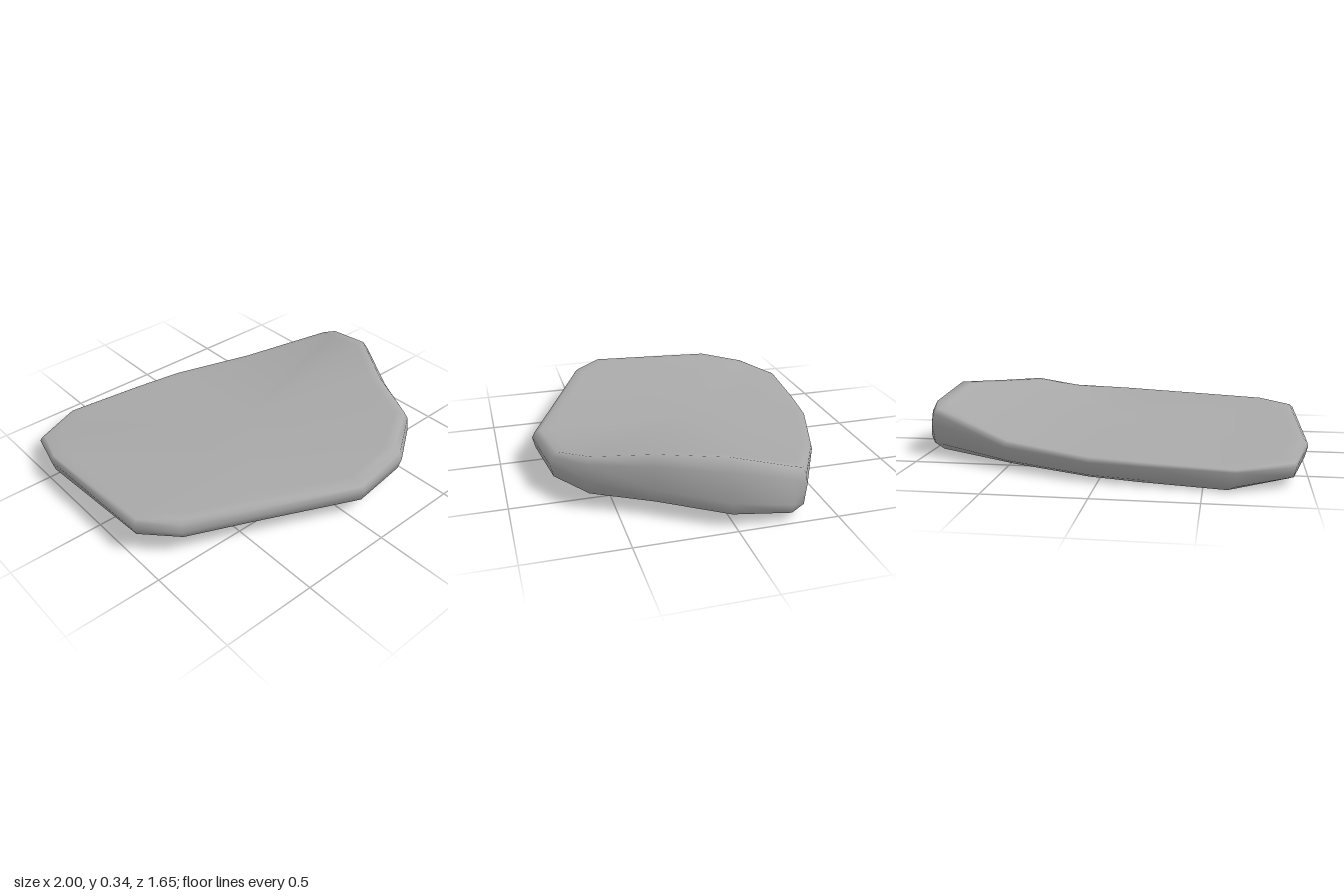
import * as THREE from 'three';

// Rim stations, clockwise from above: x, z, top y, widest y, bottom y, top inset
const RIM = [
  [-1.0, -0.45, 0.175, 0.145, 0.07, 0.02],
  [-0.93, -0.70, 0.13, 0.105, 0.035, 0.03],
  [-0.65, -0.83, 0.115, 0.1, 0.005, 0.015],
  [-0.22, -0.785, 0.12, 0.1, 0.01, 0.015],
  [0.05, -0.745, 0.125, 0.1, 0.015, 0.015],
  [0.50, -0.585, 0.15, 0.12, 0.025, 0.02],
  [0.965, -0.345, 0.255, 0.18, 0.034, 0.035],
  [0.998, -0.27, 0.285, 0.1, 0.037, 0.04],
  [0.975, 0.02, 0.345, 0.14, 0.055, 0.065],
  [0.77, 0.34, 0.312, 0.15, 0.06, 0.05],
  [0.62, 0.63, 0.28, 0.16, 0.068, 0.03],
  [0.40, 0.775, 0.22, 0.16, 0.074, 0.045],
  [0.05, 0.825, 0.2, 0.163, 0.082, 0.045],
  [-0.50, 0.59, 0.212, 0.16, 0.1, 0.035],
  [-0.82, 0.455, 0.218, 0.16, 0.11, 0.035],
  [-0.98, 0.29, 0.212, 0.16, 0.115, 0.025],
];
const CENTRE = new THREE.Vector3(0.03, 0.19, -0.03);

// Moves a rim station towards the middle by a distance
function inset(x, y, z, d) {
  const k = 1 - d / Math.hypot(x, z);
  return [x * k, y, z * k];
}

// Joins closed rings into a skin, with a fan to the optional apex point
function skin(apex, rings) {
  const n = RIM.length;
  const positions = [...apex, ...rings.flat(2)];
  const index = [];
  for (let i = 0; i < n; i++) {
    const j = (i + 1) % n;
    index.push(0, 1 + j, 1 + i);
    for (let r = 0; r < rings.length - 1; r++) {
      const a = 1 + r * n, b = a + n;
      index.push(a + i, a + j, b + i, a + j, b + j, b + i);
    }
  }
  const geometry = new THREE.BufferGeometry();
  geometry.setAttribute('position', new THREE.Float32BufferAttribute(positions, 3));
  geometry.setIndex(index);
  return geometry;
}

export function createModel() {
  const group = new THREE.Group();
  group.name = 'stoneSlab';
  const stone = new THREE.MeshStandardMaterial({ color: 0xaaaaaa });
  stone.name = 'stone grey';

  const top = RIM.map(([x, z, y, , , d]) => inset(x, y, z, d));
  const inner = top.map(p => new THREE.Vector3(...p).lerp(CENTRE, 0.06).toArray());
  const shoulder = RIM.map(([x, z, yt, ym, , d]) => inset(x, yt * 0.7 + ym * 0.3, z, d * 0.3));
  const middle = RIM.map(([x, z, , y]) => [x, y, z]);
  const lower = RIM.map(([x, z, , ym, yb]) => inset(x, yb * 0.75 + ym * 0.25, z, 0.015));
  const bottom = RIM.map(([x, z, , , y]) => inset(x, y, z, 0.06));

  // Dished top face running smoothly over the worn edge
  const upperGeometry = skin(CENTRE.toArray(), [inner, top, shoulder, middle, lower, bottom]);
  upperGeometry.computeVertexNormals();
  const upper = new THREE.Mesh(upperGeometry, stone);
  upper.name = 'topAndEdge';

  // Nearly flat underside with a crisp border
  const underGeometry = skin([0, 0.045, 0], [bottom.slice().reverse()]);
  underGeometry.computeVertexNormals();
  const under = new THREE.Mesh(underGeometry, stone);
  under.name = 'underside';

  group.add(upper, under);
  return group;
}
